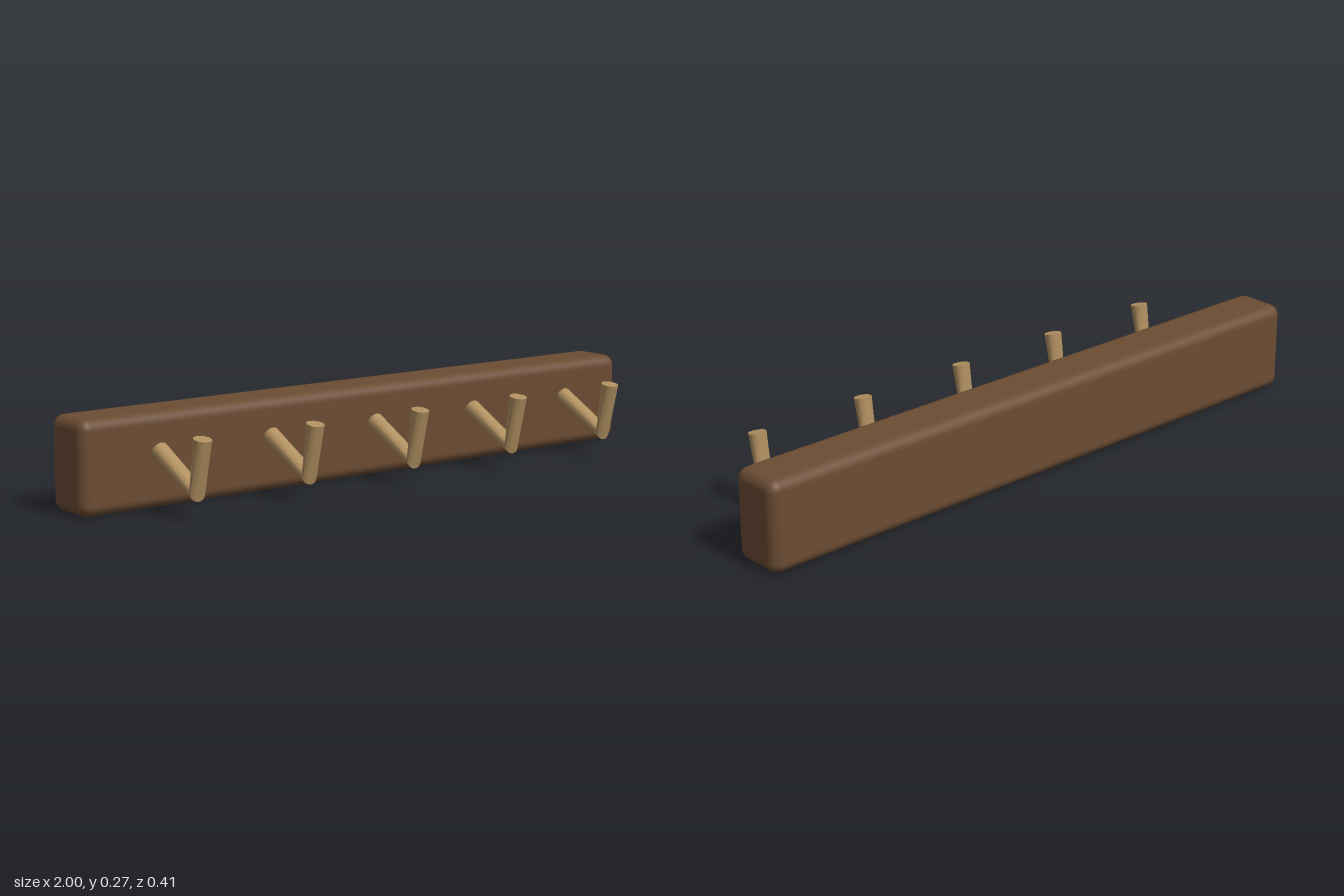
import * as THREE from 'three';
import { toCreasedNormals } from 'three/addons/utils/BufferGeometryUtils.js';
import { RoundedBoxGeometry } from 'three/addons/geometries/RoundedBoxGeometry.js';

const PEG_RADIUS = 0.026;

// Outer and inner edge of the bent peg as [z, y]: wall end, elbow, tip
const STATIONS = [
  { outer: [-0.041, 0.143], inner: [-0.02, 0.19] },
  { outer: [0.158, 0.052], inner: [0.145, 0.101] },
  { outer: [0.207, 0.223], inner: [0.155, 0.233] },
];

// A capped cylinder whose three rings are moved onto the stations
function pegGeometry() {
  const geometry = new THREE.CylinderGeometry(1, 1, 2, 20, 2);
  const position = geometry.attributes.position;
  for (let i = 0; i < position.count; i++) {
    const { outer, inner } = STATIONS[Math.round(position.getY(i)) + 1];
    const t = (position.getZ(i) + 1) / 2;
    position.setXYZ(
      i,
      position.getX(i) * PEG_RADIUS,
      THREE.MathUtils.lerp(inner[1], outer[1], t),
      THREE.MathUtils.lerp(inner[0], outer[0], t),
    );
  }
  return toCreasedNormals(geometry, 0.7);
}

export function createModel() {
  const darkWood = new THREE.MeshStandardMaterial({ name: 'darkWood', color: 0x6b4c33 });
  const lightWood = new THREE.MeshStandardMaterial({ name: 'lightWood', color: 0xb08f60 });

  const model = new THREE.Group();
  model.name = 'coatRack';

  // Rounded wall board
  const board = new THREE.Mesh(new RoundedBoxGeometry(2, 0.272, 0.166, 4, 0.033), darkWood);
  board.name = 'board';
  board.position.set(0, 0.136, -0.124);
  model.add(board);

  // Five evenly spaced bent pegs
  const geometry = pegGeometry();
  for (let i = -2; i <= 2; i++) {
    const peg = new THREE.Mesh(geometry, lightWood);
    peg.name = `peg${i + 3}`;
    peg.position.x = i * 0.378;
    model.add(peg);
  }
  return model;
}
